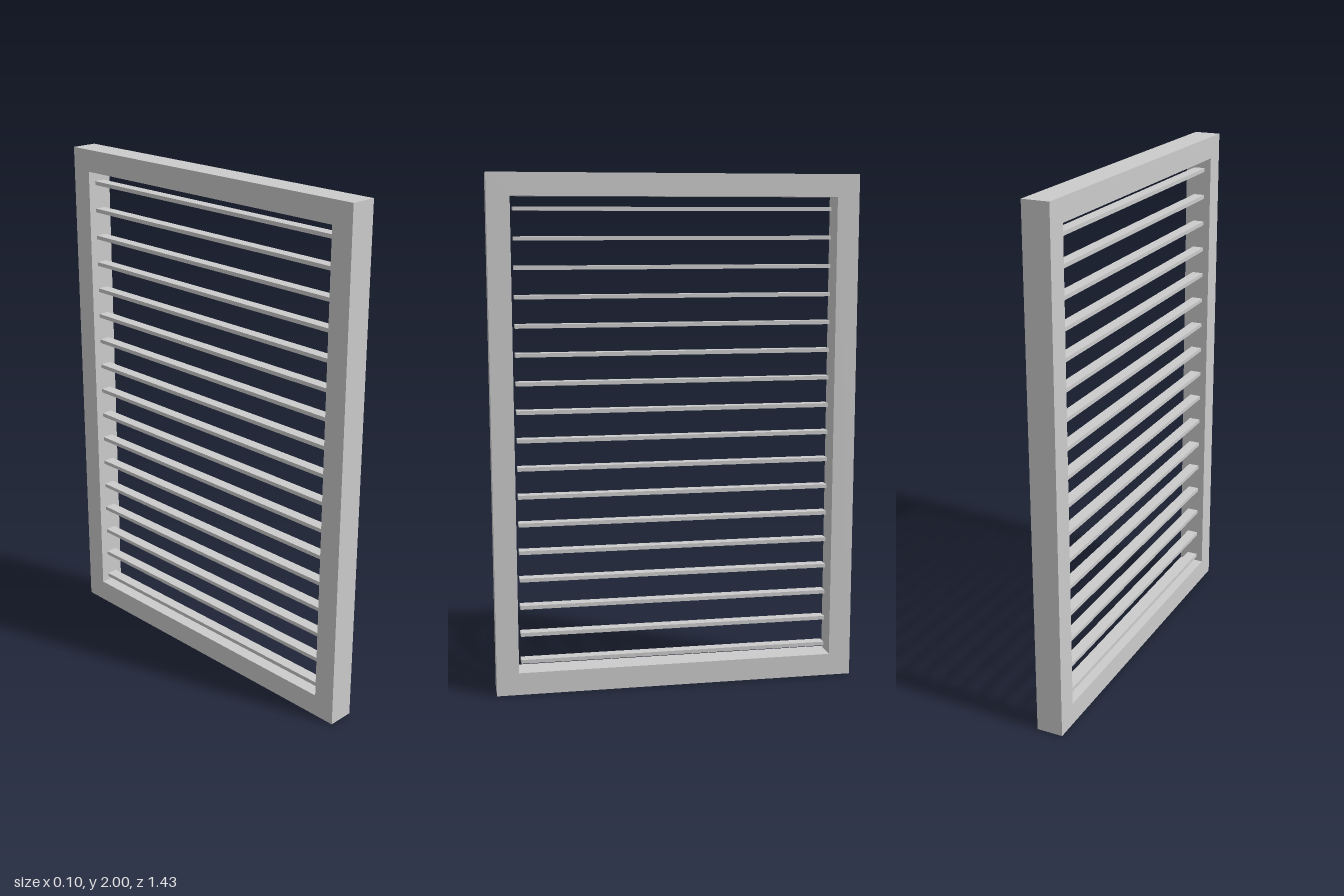
import * as THREE from 'three';

const material = new THREE.MeshStandardMaterial({ color: 0xcccccc });

// Rectangle outline in the z/y plane, usable as shape or hole
function rectangle(PathType, halfWidth, bottom, top) {
  const p = new PathType();
  p.moveTo(-halfWidth, bottom);
  p.lineTo(halfWidth, bottom);
  p.lineTo(halfWidth, top);
  p.lineTo(-halfWidth, top);
  p.closePath();
  return p;
}

export function createModel() {
  const model = new THREE.Group();
  model.name = 'louvredPanel';

  // Upright frame with a rectangular opening, thin along x
  const depth = 0.104;
  const outline = rectangle(THREE.Shape, 0.713, 0, 2);
  outline.holes.push(rectangle(THREE.Path, 0.626, 0.088, 1.914));
  const frameGeometry = new THREE.ExtrudeGeometry(outline, { depth, bevelEnabled: false });
  frameGeometry.translate(0, 0, -depth / 2);
  frameGeometry.rotateY(Math.PI / 2);
  const frame = new THREE.Mesh(frameGeometry, material);
  frame.name = 'frame';
  model.add(frame);

  // Evenly spaced horizontal slats, set slightly behind the frame's middle
  const slats = new THREE.Group();
  slats.name = 'slats';
  const slatGeometry = new THREE.BoxGeometry(0.044, 0.015, 1.228);
  const count = 17, lowest = 0.12, highest = 1.868;
  for (let i = 0; i < count; i++) {
    const slat = new THREE.Mesh(slatGeometry, material);
    slat.name = 'slat' + (i + 1);
    slat.position.set(-0.009, THREE.MathUtils.lerp(lowest, highest, i / (count - 1)), 0);
    slats.add(slat);
  }
  model.add(slats);

  return model;
}
